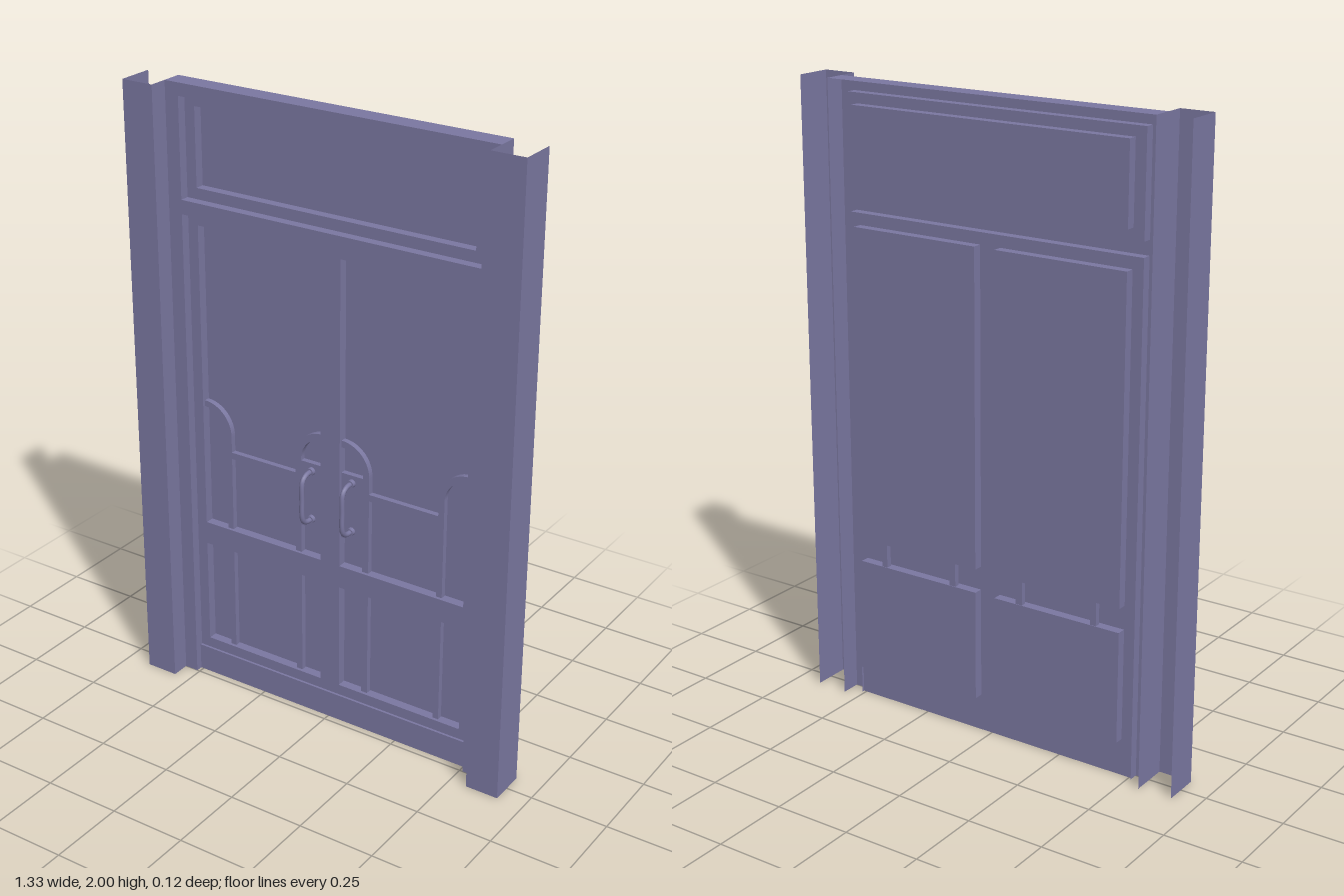
import * as THREE from 'three';

const material = new THREE.MeshStandardMaterial({ color: 0x7a77a0, side: THREE.DoubleSide });

// Depth levels: frame face, door face, panel face, rear edge of the frame
const FACE = 0, DOOR = -0.03, PANEL = -0.06, REAR = -0.065;
const BAR_FRONT = -0.04, BAR_BACK = -0.058;

function add(parent, name, geometry) {
  const mesh = new THREE.Mesh(geometry, material);
  mesh.name = name;
  parent.add(mesh);
  return mesh;
}

// Corners of a rectangle [x0, y0, x1, y1]
const corners = ([x0, y0, x1, y1]) => [[x0, y0], [x1, y0], [x1, y1], [x0, y1]];
const toPoints = (list) => list.map(([x, y]) => new THREE.Vector2(x, y));

// Flat rectangular sheet with rectangular openings
function sheet(rect, openings, z) {
  const shape = new THREE.Shape(toPoints(corners(rect)));
  for (const o of openings) shape.holes.push(new THREE.Path(toPoints(corners(o))));
  return new THREE.ShapeGeometry(shape).translate(0, 0, z);
}

// Thin wall following a polyline in xy, from z0 to z1
function wall(points, z0, z1) {
  const pos = [];
  for (let i = 0; i + 1 < points.length; i++) {
    const [ax, ay] = points[i], [bx, by] = points[i + 1];
    pos.push(ax, ay, z0, bx, by, z0, bx, by, z1, ax, ay, z0, bx, by, z1, ax, ay, z1);
  }
  const g = new THREE.BufferGeometry();
  g.setAttribute('position', new THREE.Float32BufferAttribute(pos, 3));
  g.computeVertexNormals();
  return g;
}

function reveal(rect, z0, z1) {
  const c = corners(rect);
  return wall([...c, c[0]], z0, z1);
}

function box(x0, y0, z0, x1, y1, z1) {
  return new THREE.BoxGeometry(x1 - x0, y1 - y0, z1 - z0)
    .translate((x0 + x1) / 2, (y0 + y1) / 2, (z0 + z1) / 2);
}

// Sunk panel: side walls and a back sheet
function sunkPanel(parent, name, rect) {
  add(parent, name + 'Reveal', reveal(rect, DOOR, PANEL));
  add(parent, name, sheet(rect, [], PANEL));
}

// Curved glazing bar, a quarter ring
function arch(cx, cy, r0, r1, a0, a1) {
  const s = new THREE.Shape();
  s.absarc(cx, cy, r1, a0, a1, false);
  s.absarc(cx, cy, r0, a1, a0, true);
  return new THREE.ExtrudeGeometry(s, { depth: BAR_FRONT - BAR_BACK, bevelEnabled: false, curveSegments: 10 })
    .translate(0, 0, BAR_BACK);
}

// One door leaf on the side given by s (1 or -1)
function makeDoor(s) {
  const door = new THREE.Group();
  door.name = s > 0 ? 'leftDoor' : 'rightDoor';
  const mx = ([x0, y0, x1, y1]) => (s > 0 ? [x0, y0, x1, y1] : [-x1, y0, -x0, y1]);
  const upper = mx([0.035, 0.558, 0.475, 1.563]);
  const lower = mx([0.035, 0.125, 0.475, 0.482]);

  add(door, 'doorFace', sheet(mx([0, 0.09, 0.51, 1.6]), [upper, lower], DOOR));
  sunkPanel(door, 'upperPanel', upper);
  sunkPanel(door, 'lowerPanel', lower);

  const bar = (name, x0, y0, x1, y1) => {
    const r = mx([x0, y0, x1, y1]);
    add(door, name, box(r[0], r[1], BAR_BACK, r[2], r[3], BAR_FRONT));
  };
  bar('innerBar', 0.112, 0.125, 0.134, 0.885);
  bar('outerBar', 0.375, 0.125, 0.395, 0.885);
  bar('crossBar', 0.134, 0.808, 0.375, 0.83);
  bar('handlePlate', 0.035, 0.655, 0.112, 0.877);

  // Arches spring from the bars to the edges of the upper panel
  const q = Math.PI / 2;
  const [inner, outer] = s > 0 ? [0, q] : [q, 0];
  add(door, 'innerArch', arch(s * 0.035, 0.885, 0.077, 0.099, inner, inner + q));
  add(door, 'outerArch', arch(s * 0.475, 0.885, 0.08, 0.1, outer, outer + q));

  // Bowed pull handle with round feet
  const x = s * 0.073;
  const path = new THREE.CatmullRomCurve3([
    [0.688, BAR_FRONT], [0.69, -0.008], [0.705, 0.01], [0.77, 0.014],
    [0.835, 0.01], [0.85, -0.008], [0.852, BAR_FRONT],
  ].map(([y, z]) => new THREE.Vector3(x, y, z)));
  add(door, 'handle', new THREE.TubeGeometry(path, 32, 0.008, 10));
  for (const y of [0.688, 0.852]) {
    add(door, 'handleFoot', new THREE.CylinderGeometry(0.012, 0.013, 0.012, 16)
      .rotateX(q).translate(x, y, BAR_FRONT + 0.006));
  }
  return door;
}

export function createModel() {
  const model = new THREE.Group();
  model.name = 'doubleDoor';

  // Frame: front face with two openings, thin top and sides turned back
  const transomOpening = [-0.51, 1.645, 0.51, 1.96];
  const doorOpening = [-0.51, 0, 0.51, 1.6];
  const frame = new THREE.Group();
  frame.name = 'frame';
  model.add(frame);
  const W = 0.557;
  for (const s of [-1, 1]) {
    add(frame, 'jamb', sheet(s > 0 ? [0.51, 0, W, 2] : [-W, 0, -0.51, 2], [], FACE));
  }
  add(frame, 'head', sheet([-0.51, 1.6, 0.51, 2], [transomOpening], FACE));
  add(frame, 'outerEdge', wall([[-W, 0], [-W, 2], [W, 2], [W, 0]], FACE, REAR));
  add(frame, 'transomReveal', reveal(transomOpening, FACE, DOOR));
  const [x0, y0, x1, y1] = doorOpening;
  add(frame, 'doorReveal', wall([[x0, y0], [x0, y1], [x1, y1], [x1, y0]], FACE, DOOR));

  // Transom above the doors
  const transom = new THREE.Group();
  transom.name = 'transom';
  model.add(transom);
  const transomPanel = [-0.475, 1.68, 0.475, 1.928];
  add(transom, 'transomFace', sheet(transomOpening, [transomPanel], DOOR));
  sunkPanel(transom, 'transomPanel', transomPanel);

  // Kick board below the doors
  add(model, 'kickBoard', sheet([-0.51, 0, 0.51, 0.09], [], -0.022));
  add(model, 'kickLedge', wall([[-0.51, 0.09], [0.51, 0.09]], -0.022, DOOR));

  // Door leaves and open-backed pilasters
  for (const s of [-1, 1]) {
    model.add(makeDoor(s));
    const plan = [[s * W, 0], [s * W, -0.06], [s * 0.665, -0.06], [s * 0.665, 0.06]];
    add(model, s > 0 ? 'leftPilaster' : 'rightPilaster', wall(plan, 0, 2).rotateX(-Math.PI / 2));
  }
  return model;
}
